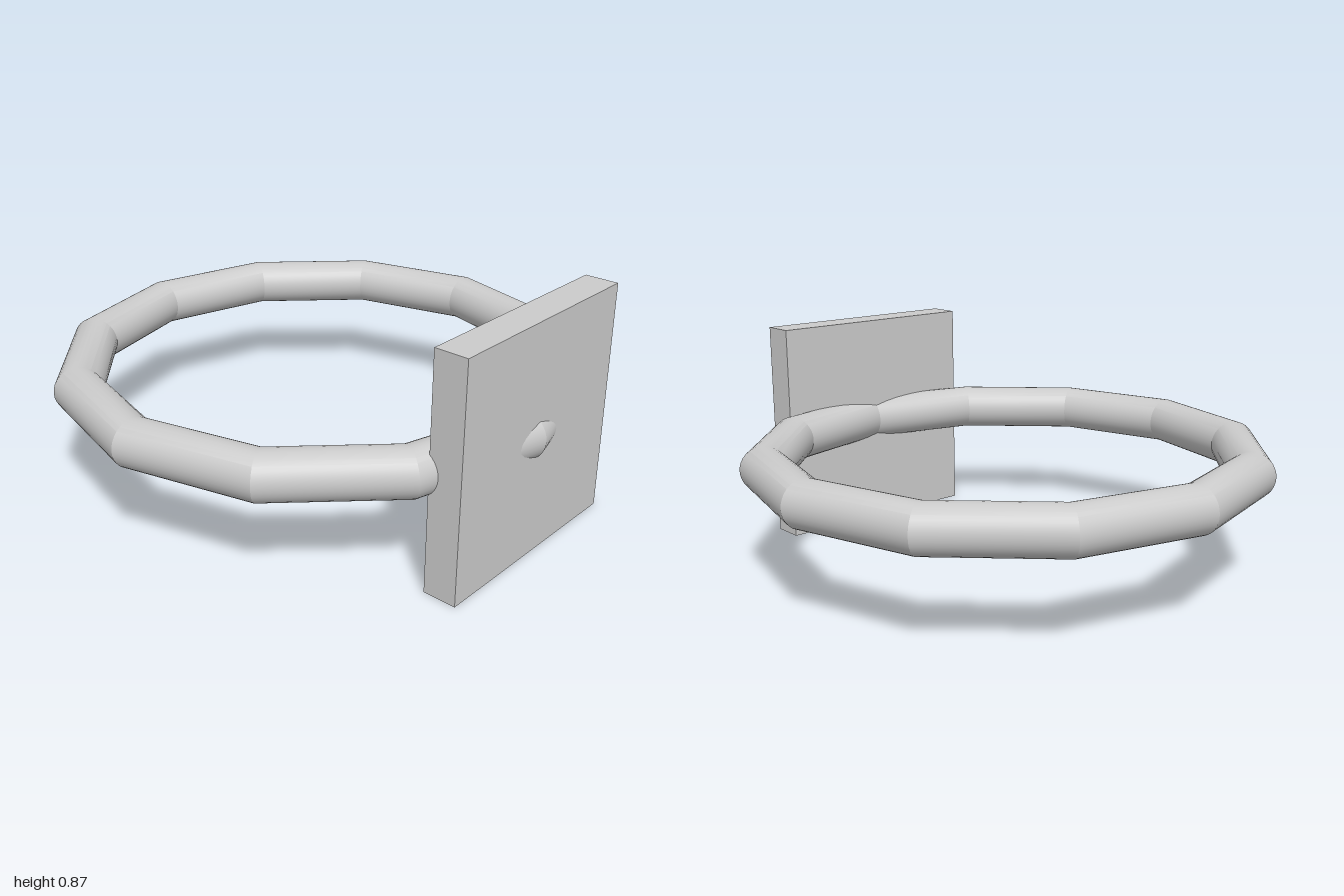
import * as THREE from 'three';
import { toCreasedNormals } from 'three/addons/utils/BufferGeometryUtils.js';

export function createModel() {
  const group = new THREE.Group();
  const material = new THREE.MeshStandardMaterial({ color: 0xcccccc });
  const midY = 0.4325;

  // Twelve-sided ring lying flat: round in section, creased at each joint
  const ringGeometry = new THREE.TorusGeometry(0.911, 0.0885, 32, 12);
  ringGeometry.rotateX(Math.PI / 2);
  const ring = new THREE.Mesh(toCreasedNormals(ringGeometry, 0.35), material);
  ring.name = 'ring';
  ring.position.y = midY + 0.0025;
  group.add(ring);

  // Square plate standing across the front of the ring
  const plate = new THREE.Mesh(new THREE.BoxGeometry(0.865, 0.865, 0.124), material);
  plate.name = 'frontPlate';
  plate.position.set(0, midY, 0.909);
  group.add(plate);

  return group;
}
